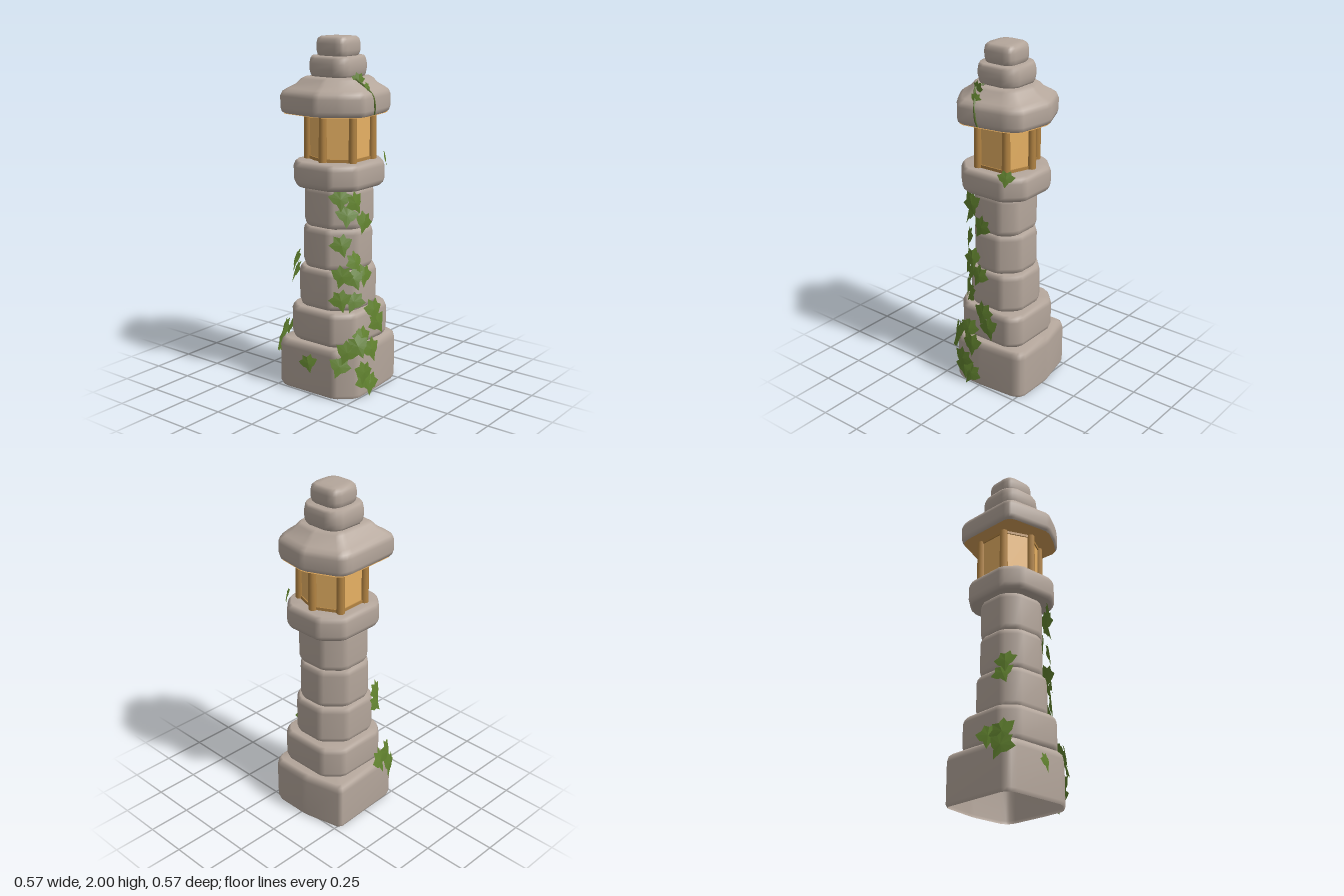
import * as THREE from 'three';

const mat = (name, color, side = THREE.FrontSide) => {
  const m = new THREE.MeshStandardMaterial({ color, side });
  m.name = name;
  return m;
};

// Round a plan polygon by cutting a little off every corner
function softenPlan(plan) {
  const out = [];
  plan.forEach((p, i) => {
    const q = plan[(i + 1) % plan.length];
    const cut = Math.min(0.3, 0.02 / Math.hypot(q[0] - p[0], q[1] - p[1]));
    for (const t of [cut, 1 - cut]) out.push([p[0] + (q[0] - p[0]) * t, p[1] + (q[1] - p[1]) * t]);
  });
  return out;
}

// Loft a plan through [scale, y] rings, with smooth normals
function loft(plan, rings) {
  const pts = softenPlan(plan), n = pts.length, pos = [], idx = [];
  const cx = pts.reduce((s, p) => s + p[0], 0) / n, cz = pts.reduce((s, p) => s + p[1], 0) / n;
  rings.forEach(([s, y], j) => pts.forEach(([x, z], i) => {
    pos.push(cx + (x - cx) * s, y, cz + (z - cz) * s);
    if (j < rings.length - 1) {
      const a = j * n + i, b = j * n + (i + 1) % n;
      idx.push(a, a + n, b, b, a + n, b + n);
    }
  }));
  const g = new THREE.BufferGeometry();
  g.setAttribute('position', new THREE.Float32BufferAttribute(pos, 3));
  g.setIndex(idx);
  g.computeVertexNormals();
  return g;
}

// Uneven square plan with chamfers: back right, front right, front left, back left (+x is right here)
const chamfered = (x0, x1, z0, z1, [a, b, c, d]) => [
  [x1 - a, z0], [x1, z0 + a * 1.05], [x1, z1 - b], [x1 - b * 1.05, z1],
  [x0 + c, z1], [x0, z1 - c * 1.05], [x0, z0 + d], [x0 + d * 0.95, z0],
];

// Rounded stone course, hollow in the middle
const course = (y0, y1, b = 0.035) => [
  [0.6, y0], [0.91, y0], [0.965, y0 + b * 0.35], [1, y0 + b],
  [1, y1 - b], [0.965, y1 - b * 0.35], [0.91, y1], [0.6, y1],
];

// Five-lobed ivy leaf, gently folded along its midrib, tip downwards
function leafGeometry() {
  const edge = [[0, 0.36], [0.24, 0.5], [0.3, 0.26], [0.56, 0.16], [0.34, -0.16], [0.18, -0.24], [0, -0.58]];
  const pos = [];
  for (const s of [1, -1]) {
    for (let i = 0; i < edge.length - 1; i++) {
      const tri = [[0, 0], edge[i + 1], edge[i]];
      if (s < 0) tri.reverse();
      tri.forEach(([x, y]) => pos.push(s * x, y, 0.08 - 0.14 * x - 0.12 * y * y));
    }
  }
  const g = new THREE.BufferGeometry();
  g.setAttribute('position', new THREE.Float32BufferAttribute(pos, 3));
  g.computeVertexNormals();
  return g;
}

export function createModel() {
  const model = new THREE.Group();
  model.name = 'stoneLantern';
  const stone = mat('stone', 0xb4a69b, THREE.DoubleSide);
  const wood = mat('wood', 0xb38443);
  const glow = mat('amberPanel', 0xecb566);
  const soffit = mat('amberSoffit', 0xd39f58, THREE.DoubleSide);
  const leafMat = mat('ivyGreen', 0x61822f, THREE.DoubleSide);
  const vineMat = mat('vineGreen', 0x5a722f);

  const add = (name, geo, material, parent = model) => {
    const m = new THREE.Mesh(geo, material);
    m.name = name;
    parent.add(m);
    return m;
  };

  // Foot, open underneath
  const footPlan = [[0.227, -0.277], [0.282, -0.035], [0.282, 0.195], [0.24, 0.228], [0, 0.247],
    [-0.15, 0.25], [-0.24, 0.15], [-0.248, -0.21], [-0.22, -0.258]];
  add('foot', loft(footPlan, [[0.97, 0], [1, 0.02], [1, 0.245], [0.975, 0.275], [0.92, 0.29], [0.6, 0.295]]), stone);

  // Tapering shaft courses and the collar
  add('lowerCourse', loft(chamfered(-0.222, 0.236, -0.226, 0.216, [0.09, 0.06, 0.09, 0.08]), course(0.29, 0.492)), stone);
  add('shaftCourse1', loft(chamfered(-0.19, 0.194, -0.187, 0.187, [0.11, 0.08, 0.1, 0.07]), course(0.488, 0.722)), stone);
  add('shaftCourse2', loft(chamfered(-0.178, 0.176, -0.174, 0.18, [0.105, 0.09, 0.115, 0.08]), course(0.718, 0.957)), stone);
  add('shaftCourse3', loft(chamfered(-0.166, 0.167, -0.167, 0.178, [0.09, 0.07, 0.1, 0.07]), course(0.953, 1.185)), stone);
  add('collar', loft(chamfered(-0.226, 0.235, -0.212, 0.218, [0.1, 0.09, 0.1, 0.09]), course(1.18, 1.325)), stone);

  // Six-sided lantern room
  const room = new THREE.Group();
  room.name = 'lanternRoom';
  model.add(room);
  const posts = [[0.172, -0.01], [0.118, 0.145], [-0.07, 0.152], [-0.152, 0.01], [-0.09, -0.145], [0.1, -0.15]];
  posts.forEach(([x, z], i) => {
    const post = add('post', new THREE.CylinderGeometry(0.021, 0.024, 0.28, 8), wood, room);
    post.position.set(x, 1.455, z);
    const [x2, z2] = posts[(i + 1) % 6];
    const span = new THREE.Group();
    span.name = 'lanternSide';
    span.position.set((x + x2) / 2 * 0.96, 1.455, (z + z2) / 2 * 0.96);
    span.rotation.y = Math.atan2(-(z2 - z), x2 - x);
    room.add(span);
    const w = Math.hypot(x2 - x, z2 - z);
    add('panel', new THREE.BoxGeometry(w * 0.97, 0.27, 0.008), glow, span);
    for (const y of [-0.122, 0.128]) {
      add('rail', new THREE.BoxGeometry(w, 0.018, 0.022), wood, span).position.y = y;
    }
  });

  // Roof slab with its warm underside, and two cap stones
  const roofPlan = [[0.135, -0.252], [0.188, -0.235], [0.277, -0.035], [0.243, 0.18], [0.165, 0.222],
    [0, 0.248], [-0.12, 0.262], [-0.2, 0.17], [-0.272, 0.05], [-0.24, -0.21], [-0.215, -0.24]];
  add('roof', loft(roofPlan, [[0.92, 1.584], [0.975, 1.592], [1, 1.615], [1, 1.68], [0.965, 1.705],
    [0.88, 1.722], [0.74, 1.745], [0.65, 1.772], [0.58, 1.784], [0.3, 1.786]]), stone);
  add('soffit', loft(roofPlan, [[0, 1.592], [0.6, 1.588], [0.95, 1.583]]), soffit);
  add('lowerCap', loft(chamfered(-0.132, 0.142, -0.14, 0.128, [0.05, 0.05, 0.05, 0.05]), course(1.782, 1.895, 0.042)), stone);
  add('topCap', loft(chamfered(-0.094, 0.104, -0.108, 0.096, [0.035, 0.03, 0.03, 0.035]),
    [[0.6, 1.888], [0.85, 1.89], [0.95, 1.902], [1, 1.925], [1, 1.96], [0.95, 1.985], [0.82, 1.998], [0.5, 2], [0, 2]]), stone);

  // Ivy leaves: x, y, z, facing angle, size
  const ivy = new THREE.Group();
  ivy.name = 'ivy';
  model.add(ivy);
  const leaf = leafGeometry();
  let count = 0;
  const addLeaf = (x, y, z, yaw, size) => {
    const l = add('ivyLeaf', leaf, leafMat, ivy);
    l.position.set(x, y, z);
    l.rotation.set(-0.2 + 0.1 * Math.sin(count * 2.3), yaw, 0.45 * Math.sin(count * 1.7), 'YXZ');
    l.scale.setScalar(size);
    count++;
  };
  // Front strand, following the steps and chamfers of the shaft
  const front = [[-0.155, 1.135], [-0.09, 1.11], [-0.125, 1.04], [-0.02, 0.99], [-0.15, 0.875], [-0.09, 0.775],
    [-0.155, 0.7], [-0.03, 0.69], [-0.1, 0.68], [-0.16, 0.56], [-0.1, 0.55], [0.02, 0.48], [0.06, 0.395],
    [-0.085, 0.345], [-0.19, 0.28], [-0.04, 0.27], [-0.14, 0.31], [-0.11, 0.15], [-0.05, 0.07], [-0.1, 0.1]];
  for (const [x, y] of front) {
    const z = y < 0.33 ? 0.258 : y < 0.52 ? 0.228 : y < 0.74 ? 0.198 : 0.188;
    const corner = Math.max(0, -x - (y < 0.52 ? 0.12 : 0.08));
    addLeaf(x, y, z - corner * 0.75, corner > 0.02 ? -0.7 : -0.1, y < 0.52 ? 0.13 : 0.122);
  }
  addLeaf(-0.265, 0.19, -0.01, -1.2, 0.1);
  addLeaf(-0.225, 0.2, 0.18, -0.8, 0.12);
  addLeaf(0.16, 1.325, 0.2, 0.6, 0.09);
  // Back clusters
  const back = Math.PI + 0.4;
  for (const [x, y, z] of [[-0.19, 0.32, -0.238], [-0.11, 0.31, -0.262], [-0.2, 0.24, -0.258]]) {
    addLeaf(x, y, z, back, 0.145);
  }
  addLeaf(-0.15, 0.74, -0.183, back, 0.125);
  addLeaf(-0.14, 0.67, -0.192, back, 0.125);

  // Vine over the roof edge, with two small leaves
  const path = new THREE.CatmullRomCurve3([[-0.04, 1.79, 0.13], [-0.065, 1.778, 0.17], [-0.035, 1.735, 0.215],
    [-0.015, 1.69, 0.244], [-0.005, 1.63, 0.25], [0.002, 1.59, 0.24]].map(p => new THREE.Vector3(...p)));
  add('vine', new THREE.TubeGeometry(path, 24, 0.006, 6), vineMat, ivy);
  addLeaf(-0.05, 1.775, 0.17, -0.3, 0.08);
  addLeaf(-0.03, 1.735, 0.215, 0.2, 0.06);

  return model;
}
